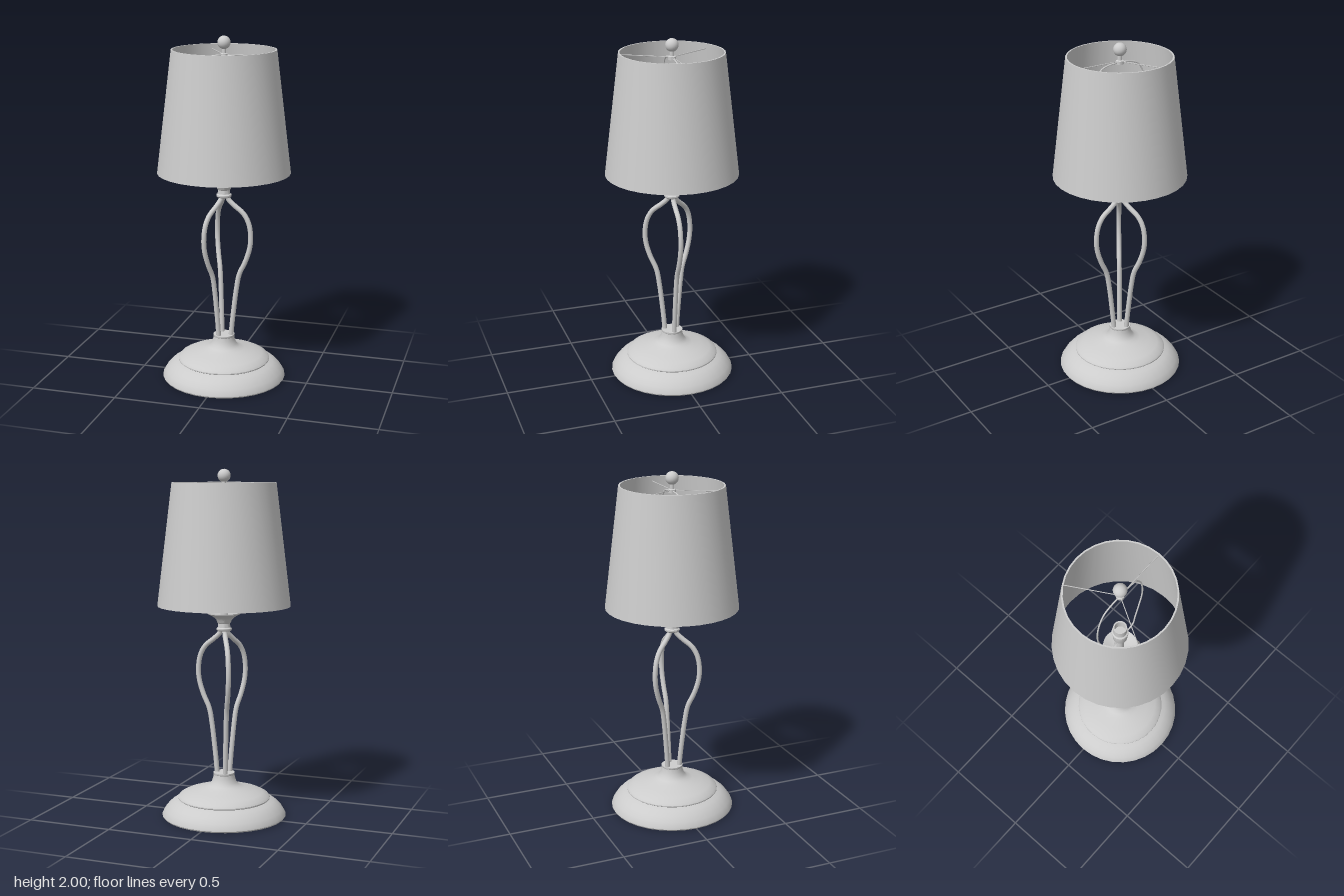
import * as THREE from 'three';
import { toCreasedNormals } from 'three/addons/utils/BufferGeometryUtils.js';

export function createModel() {
  const lamp = new THREE.Group();
  lamp.name = 'tableLamp';
  const grey = new THREE.MeshStandardMaterial({ color: 0xcccccc });
  grey.name = 'light grey';

  const add = (name, geometry, parent = lamp) => {
    const mesh = new THREE.Mesh(geometry, grey);
    mesh.name = name;
    parent.add(mesh);
    return mesh;
  };
  // Turned part from [radius, height] pairs, listed bottom to top
  const turned = (name, profile, sides = 32) =>
    add(name, toCreasedNormals(
      new THREE.LatheGeometry(profile.map(([r, y]) => new THREE.Vector2(r, y)), sides), 0.6));
  const rod = (name, points, radius, steps, sides, parent) =>
    add(name, new THREE.TubeGeometry(
      new THREE.CatmullRomCurve3(points.map((p) => new THREE.Vector3(...p))), steps, radius, sides), parent);

  // Stepped, domed foot with a short neck
  turned('base', [
    [0, 0], [0.355, 0], [0.36, 0.008], [0.358, 0.018], [0.342, 0.045], [0.318, 0.072],
    [0.29, 0.092], [0.262, 0.102], [0.267, 0.106], [0.267, 0.112], [0.258, 0.124],
    [0.225, 0.141], [0.175, 0.157], [0.12, 0.172], [0.09, 0.183], [0.073, 0.2],
    [0.064, 0.225], [0.06, 0.245], [0.062, 0.248], [0.062, 0.257], [0, 0.257],
  ]);

  // Three bowed legs
  const legPath = [
    [0.042, 0.24, 0], [0.05, 0.33, 0], [0.06, 0.42, 0], [0.075, 0.54, 0], [0.092, 0.63, 0],
    [0.128, 0.71, 0], [0.153, 0.79, 0], [0.159, 0.86, 0], [0.146, 0.94, 0],
    [0.115, 0.995, 0], [0.06, 1.04, 0], [0.025, 1.075, 0], [0.018, 1.11, 0],
  ];
  for (let i = 0; i < 3; i++) {
    const leg = new THREE.Group();
    leg.name = 'leg' + (i + 1);
    leg.rotation.y = (i * Math.PI * 2) / 3;
    rod('legRod', legPath, 0.0145, 48, 10, leg);
    lamp.add(leg);
  }

  // Collar joining the legs, with a dished cup above
  turned('collarAndCup', [
    [0, 1.085], [0.038, 1.085], [0.044, 1.092], [0.044, 1.1], [0.036, 1.106], [0.034, 1.128],
    [0.04, 1.134], [0.043, 1.148], [0.058, 1.163], [0.08, 1.176], [0.095, 1.184],
    [0.095, 1.19], [0.08, 1.185], [0.055, 1.172], [0.03, 1.164], [0, 1.164],
  ]);

  // Stem and bulb socket
  turned('stem', [[0, 1.16], [0.021, 1.16], [0.021, 1.32], [0, 1.32]], 16);
  turned('socket', [
    [0, 1.3], [0.03, 1.3], [0.04, 1.32], [0.04, 1.38], [0.046, 1.385], [0.046, 1.4],
    [0.038, 1.405], [0.038, 1.46], [0.03, 1.46], [0.03, 1.4], [0, 1.4],
  ], 20);

  // Wire harp around the socket, mirrored left and right
  const harpSide = [
    [0.02, 1.3, 0], [0.08, 1.3, 0], [0.11, 1.32, 0], [0.12, 1.37, 0], [0.145, 1.47, 0],
    [0.174, 1.6, 0], [0.175, 1.7, 0], [0.155, 1.8, 0], [0.12, 1.865, 0], [0.07, 1.885, 0],
  ];
  rod('harp', [
    ...harpSide, [0, 1.89, 0],
    ...harpSide.slice().reverse().map(([x, y, z]) => [-x, y, z]),
  ], 0.0045, 80, 8);

  // Hub and spokes holding the shade
  turned('hub', [[0, 1.882], [0.022, 1.882], [0.022, 1.9], [0.012, 1.904], [0.012, 1.94], [0, 1.94]], 16);
  for (let i = 0; i < 3; i++) {
    const spoke = new THREE.Group();
    spoke.name = 'spoke' + (i + 1);
    spoke.rotation.y = (i * Math.PI * 2) / 3;
    rod('spokeWire', [[0, 1.896, 0], [0.29, 1.896, 0]], 0.0025, 1, 6, spoke);
    lamp.add(spoke);
  }

  // Ball finial
  add('finial', new THREE.SphereGeometry(0.037, 20, 14)).position.y = 1.963;

  // Tapered shade, a thin shell open at both ends
  turned('shade', [[0.38, 1.23], [0.295, 1.925], [0.286, 1.925], [0.371, 1.23], [0.38, 1.23]]);

  return lamp;
}
